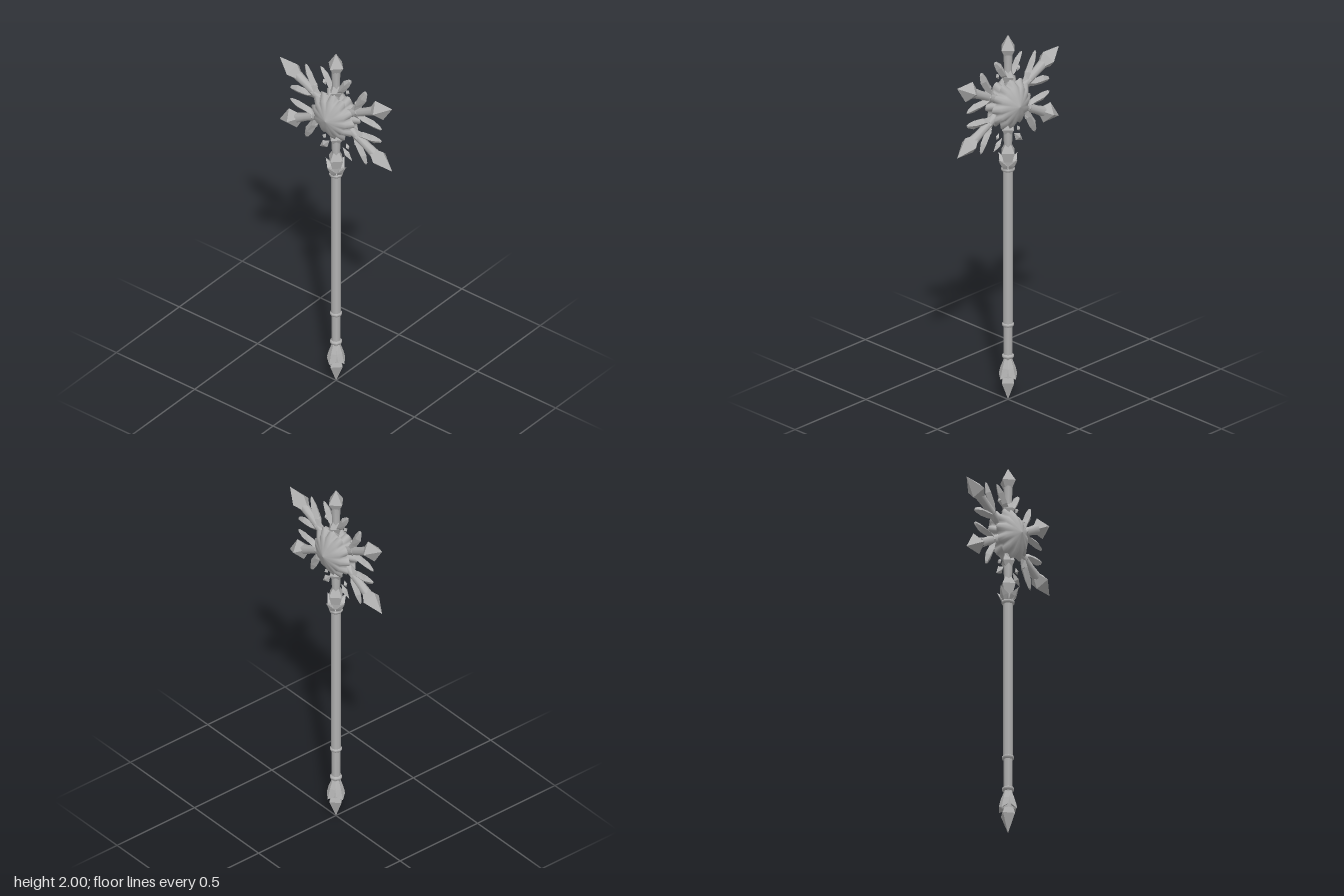
import * as THREE from 'three';

const steel = new THREE.MeshStandardMaterial({ color: 0xb2b2b2 });
steel.name = 'steel grey';

const HUB_Y = 1.63;

function addMesh(parent, name, geometry) {
  const mesh = new THREE.Mesh(geometry, steel);
  mesh.name = name;
  parent.add(mesh);
  return mesh;
}

function faceted(geometry) {
  const g = geometry.toNonIndexed();
  g.computeVertexNormals();
  return g;
}

// Turned solid from [radius, height] pairs, listed from bottom to top
function turned(profile, sides) {
  return new THREE.LatheGeometry(profile.map(([r, y]) => new THREE.Vector2(r, y)), sides);
}
const gem = (profile) => faceted(turned(profile, 4));

// Blade along a path in the xy plane: stations [x, y, halfWidth, halfDepth] with diamond sections
function blade(stations) {
  const pos = [], index = [], last = stations.length - 1;
  stations.forEach(([x, y, w, d], i) => {
    const a = stations[Math.max(0, i - 1)], b = stations[Math.min(last, i + 1)];
    const len = Math.hypot(b[0] - a[0], b[1] - a[1]);
    const nx = (b[1] - a[1]) / len, ny = -(b[0] - a[0]) / len;
    pos.push(x + nx * w, y + ny * w, 0, x, y, d, x - nx * w, y - ny * w, 0, x, y, -d);
  });
  for (let i = 0; i < last; i++) {
    for (let k = 0; k < 4; k++) {
      const a = i * 4 + k, b = i * 4 + (k + 1) % 4;
      index.push(a, a + 4, b, b, a + 4, b + 4);
    }
  }
  // Cap the starting end
  index.push(0, 1, 2, 0, 2, 3);
  const g = new THREE.BufferGeometry();
  g.setAttribute('position', new THREE.Float32BufferAttribute(pos, 3));
  g.setIndex(index);
  return faceted(g);
}

// Domed hub with twelve blunt petals round the rim, parted by narrow notches
function hubGeometry() {
  const profile = [[0, -0.087], [0.05, -0.071], [0.1, -0.052], [0.137, -0.024], [0.1, 0],
    [0.137, 0.024], [0.1, 0.052], [0.05, 0.071], [0, 0.087]];
  const g = turned(profile, 72);
  const p = g.attributes.position;
  for (let i = 0; i < p.count; i++) {
    const x = p.getX(i), z = p.getZ(i), r = Math.hypot(x, z);
    const notch = (0.5 - 0.5 * Math.cos(12 * Math.atan2(x, z))) ** 2;
    const k = 1 - 0.24 * notch * THREE.MathUtils.smoothstep(r, 0.08, 0.135);
    p.setX(i, x * k);
    p.setZ(i, z * k);
  }
  g.rotateX(Math.PI / 2);
  g.computeVertexNormals();
  return g;
}

// One snowflake arm pointing along +y from the hub; tip is [radius, height] of the gem's widest ring
function makeArm(angle, scale, tip, knotDepth) {
  const arm = new THREE.Group();
  arm.name = 'snowflakeArm';
  arm.rotation.z = angle;
  arm.scale.set(scale, scale, 1);
  addMesh(arm, 'armBar', turned([[0.02, 0.08], [0.02, 0.2], [0.024, tip[1] - 0.03]], 8));
  addMesh(arm, 'armKnot', gem([[0.018, 0.105], [0.04, 0.145], [0.018, 0.185]])).scale.z = knotDepth;
  addMesh(arm, 'armTip', gem([[0.022, tip[1] - 0.042], tip, [0, 0.37]]));
  for (const s of [-1, 1]) {
    addMesh(arm, 'armLeaf', blade([[s * 0.008, 0.135, 0.012, 0.014], [s * 0.036, 0.165, 0.018, 0.02],
      [s * 0.066, 0.213, 0.021, 0.018], [s * 0.09, 0.242, 0.011, 0.008], [s * 0.098, 0.25, 0, 0]]));
  }
  return arm;
}

// Four petals round the shaft
function addPetals(parent, name, stations) {
  for (let i = 0; i < 4; i++) {
    addMesh(parent, name, blade(stations)).rotation.y = i * Math.PI / 2;
  }
}

export function createModel() {
  const model = new THREE.Group();
  model.name = 'snowflakeStaff';

  // Shaft, grip and collars
  addMesh(model, 'shaft', turned([[0.025, 0.41], [0.025, 1.27]], 8));
  addMesh(model, 'grip', turned([[0.022, 0.22], [0.023, 0.41]], 8));
  for (const [y, r] of [[0.24, 0.031], [0.413, 0.031], [1.265, 0.034]]) {
    addMesh(model, 'collar', turned([[0.02, y - 0.012], [r, y - 0.006], [r, y + 0.006], [0.02, y + 0.012]], 8));
  }

  // Pommel
  addMesh(model, 'pommelBell', turned([[0.034, 0.13], [0.03, 0.18], [0.02, 0.235]], 8));
  addMesh(model, 'pommelGem', gem([[0, 0], [0.043, 0.1], [0.025, 0.15]]));
  addPetals(model, 'pommelPetal', [[0.012, 0.235, 0.008, 0.012], [0.027, 0.18, 0.012, 0.026],
    [0.036, 0.145, 0.012, 0.028], [0.054, 0.124, 0, 0]]);

  // Crown under the snowflake
  addMesh(model, 'crownGem', gem([[0.024, 1.27], [0.03, 1.31], [0.046, 1.36], [0.02, 1.405]]));
  addPetals(model, 'crownPetal', [[0.015, 1.265, 0.012, 0.016], [0.034, 1.298, 0.013, 0.026], [0.066, 1.335, 0, 0]]);
  addMesh(model, 'neck', turned([[0.02, 1.39], [0.024, 1.47], [0.022, 1.55]], 8));
  addMesh(model, 'neckKnot', gem([[0.018, 1.45], [0.042, 1.488], [0.02, 1.53]]));

  // Snowflake
  const flake = new THREE.Group();
  flake.name = 'snowflake';
  flake.position.y = HUB_Y;
  model.add(flake);
  addMesh(flake, 'hub', hubGeometry());
  flake.add(makeArm(0, 1, [0.047, 0.297], 1));
  for (const s of [-1, 1]) {
    for (const degrees of [62, 118]) {
      flake.add(makeArm(s * THREE.MathUtils.degToRad(degrees), 1.1, [0.049, 0.283], 0.55));
    }
    // Short leaves beside the neck
    addMesh(flake, 'neckLeaf', blade([[s * 0.042, -0.182, 0, 0], [s * 0.07, -0.212, 0.021, 0.016],
      [s * 0.104, -0.242, 0, 0]]));
    // Small loose crystals between the arms
    for (const v of [-1, 1]) {
      for (const [x, y] of [[0.127, 0.122], [0.073, 0.165]]) {
        const crystal = addMesh(flake, 'crystal', gem([[0, -0.018], [0.012, 0.003], [0, 0.018]]));
        crystal.position.set(s * x, v * y, 0);
        crystal.rotation.z = Math.atan2(v * y, s * x) - Math.PI / 2;
      }
    }
  }
  return model;
}
